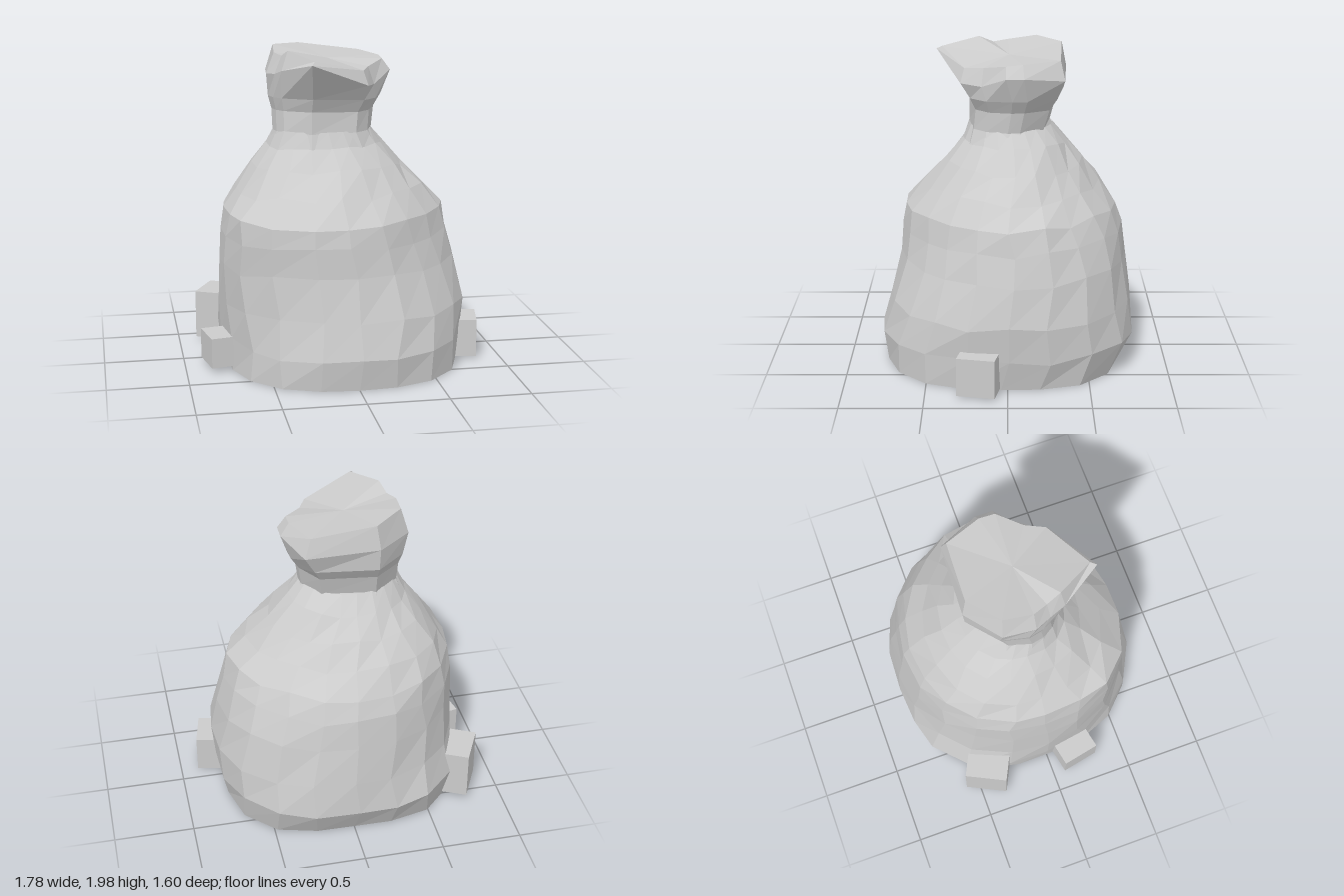
import * as THREE from 'three';

const cloth = new THREE.MeshStandardMaterial({ color: 0xcccccc, flatShading: true });

// Joins rings of [x, y, z] points; optional centre points close the two ends.
function loft(rings, bottom, top) {
  const n = rings[0].length;
  const pos = rings.flat(2);
  const idx = [];
  for (let r = 0; r < rings.length - 1; r++) {
    for (let i = 0; i < n; i++) {
      const j = (i + 1) % n;
      const a = r * n + i, b = r * n + j, c = a + n, d = b + n;
      idx.push(a, c, b, b, c, d);
    }
  }
  const cap = (centre, start, up) => {
    const c = pos.length / 3;
    pos.push(...centre);
    for (let i = 0; i < n; i++) {
      const a = start + i, b = start + (i + 1) % n;
      if (up) idx.push(a, c, b);
      else idx.push(a, b, c);
    }
  };
  if (bottom) cap(bottom, 0, false);
  if (top) cap(top, (rings.length - 1) * n, true);
  const g = new THREE.BufferGeometry();
  g.setAttribute('position', new THREE.Float32BufferAttribute(pos, 3));
  g.setIndex(idx);
  g.computeVertexNormals();
  return g;
}

function add(group, name, geometry) {
  const mesh = new THREE.Mesh(geometry, cloth);
  mesh.name = name;
  group.add(mesh);
  return mesh;
}

// Ellipse point that fills the extents [x0, x1, z0, z1] at angle a.
function ovalPoint(a, y, [x0, x1, z0, z1], k) {
  return [
    (x0 + x1) / 2 + Math.cos(a) * k * (x1 - x0) / 2,
    y,
    (z0 + z1) / 2 + Math.sin(a) * k * (z1 - z0) / 2,
  ];
}

export function createModel() {
  const group = new THREE.Group();
  group.name = 'tiedSack';

  let seed = 7;
  const rand = () => ((seed = (seed * 16807) % 2147483647) / 2147483647) - 0.5;

  // Lumpy body: height, x and z extents, then the bulge of each corner
  // (front left, front right, back right, back left)
  const bodyRings = [
    [0.02, [-0.73, 0.73, -0.69, 0.77], [0.08, 0.06, 0.16, 0.13]],
    [0.21, [-0.755, 0.77, -0.8, 0.8], [0.04, 0.02, 0.11, 0.09]],
    [0.42, [-0.76, 0.8, -0.775, 0.745], [0.01, 0.03, 0.05, 0.04]],
    [0.68, [-0.76, 0.75, -0.745, 0.675], [-0.04, 0.07, 0.02, 0.02]],
    [0.86, [-0.74, 0.705, -0.72, 0.66], [-0.07, 0.11, 0.03, -0.02]],
    [1.0, [-0.72, 0.67, -0.68, 0.645], [-0.09, 0.13, 0.04, -0.05]],
    [1.13, [-0.645, 0.55, -0.575, 0.52], [-0.07, 0.08, 0.07, -0.06]],
    [1.27, [-0.54, 0.41, -0.47, 0.385], [-0.02, 0.06, 0.05, -0.03]],
    [1.4, [-0.45, 0.28, -0.37, 0.28], [0, 0.07, 0.02, 0]],
    [1.5, [-0.4, 0.2, -0.28, 0.24], [0, 0.06, 0, 0]],
  ];
  const sides = 20;
  add(group, 'sackBody', loft(
    bodyRings.map(([y, ext, bulge], r) => Array.from({ length: sides }, (_, i) => {
      const wobble = r === 0 || r === bodyRings.length - 1 ? 0 : 1;
      const a = i / sides * Math.PI * 2;
      const corner = bulge[Math.floor(i / sides * 4)] * Math.sin(2 * a) ** 2;
      const shift = wobble * 0.06 * rand();
      return ovalPoint(a + shift, y + wobble * 0.04 * rand(), ext, 1.005 + corner + wobble * 0.015 * rand());
    })),
    [0, 0.02, 0],
  ));

  // Gathered neck and flared mouth: lip x, y, z and the height of the rim above it
  const lip = [
    [-0.22, 1.84, -0.37, 1.99], [0.23, 1.82, -0.35, 1.94], [0.33, 1.85, -0.1, 1.93],
    [0.33, 1.85, 0.01, 1.92], [0.2, 1.78, 0.16, 1.89], [0.14, 1.79, 0.29, 1.88],
    [-0.23, 1.94, 0.45, 1.96], [-0.38, 1.88, 0.2, 2.0], [-0.41, 1.85, 0.1, 1.96],
    [-0.45, 1.84, 0, 1.97], [-0.43, 1.84, -0.2, 2.0],
  ];
  const cx = -0.07, cz = -0.01;
  const neckRing = (y, ext, blend) => lip.map(([x, ly, z]) => {
    const p = ovalPoint(Math.atan2(z - cz, x - cx), y, ext, 1.04);
    return [x, ly, z].map((v, k) => THREE.MathUtils.lerp(p[k], v, blend));
  });
  add(group, 'sackNeck', loft([
    neckRing(1.4, [-0.43, 0.25, -0.34, 0.28], 0),
    neckRing(1.49, [-0.4, 0.2, -0.28, 0.25], 0),
    neckRing(1.6, [-0.4, 0.21, -0.31, 0.23], 0.08),
    neckRing(1.68, [-0.42, 0.26, -0.37, 0.27], 0.12),
    lip.map(([x, y, z]) => [x, y, z]),
    lip.map(([x, , z, rim]) => [cx + (x - cx) * 0.87, rim, cz + (z - cz) * 0.92]),
  ], null, [cx, 1.93, cz]));

  // Small blocks around the foot: name, x, z, bottom, top, width, depth, turn
  const blocks = [
    ['leftBlock', 0.78, 0.175, 0.03, 0.27, 0.18, 0.235, -0.2],
    ['rightBlock', -0.78, 0.175, 0.05, 0.24, 0.18, 0.24, 0.2],
    ['backBlock', -0.755, -0.43, 0.05, 0.36, 0.17, 0.27, -0.46],
  ];
  for (const [name, x, z, y0, y1, w, d, turn] of blocks) {
    const block = add(group, name, new THREE.BoxGeometry(w, y1 - y0, d));
    block.position.set(x, (y0 + y1) / 2, z);
    block.rotation.y = turn;
  }

  return group;
}
